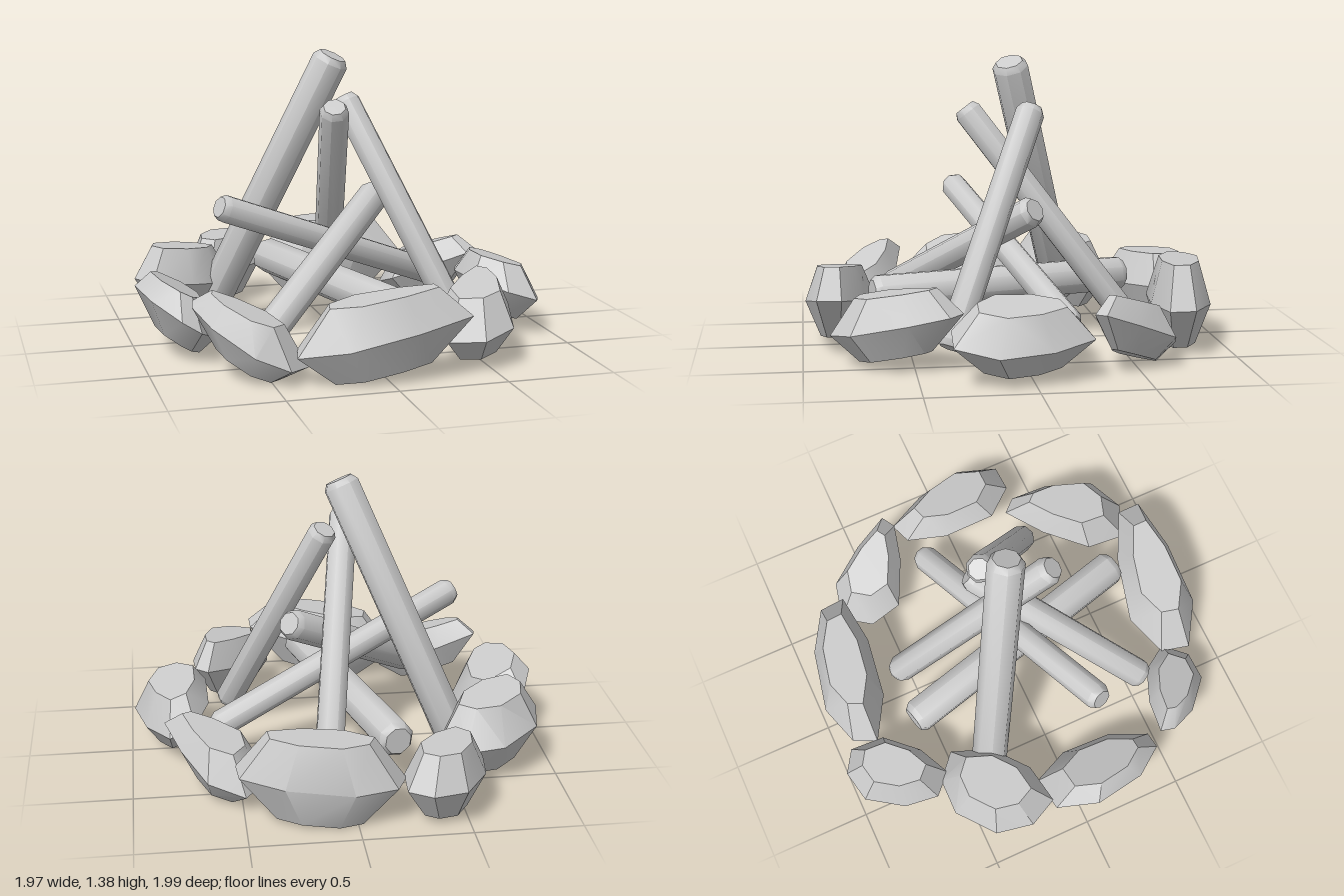
import * as THREE from 'three';
import { ConvexGeometry } from 'three/addons/geometries/ConvexGeometry.js';
import { toCreasedNormals } from 'three/addons/utils/BufferGeometryUtils.js';

// Logs: radius, one end, other end
const LOGS = [
  [0.088, [-0.02, 1.36, 0], [-0.55, 0.12, -0.34]],
  [0.07, [-0.07, 1.14, 0.21], [0.1, 0.12, -0.56]],
  [0.07, [0.06, 1.15, -0.1], [0.51, 0.1, 0.34]],
  [0.066, [-0.62, 0.7, 0.22], [0.6, 0.21, -0.2]],
  [0.075, [0.23, 0.68, -0.09], [-0.47, 0.19, 0.56]],
  [0.088, [-0.22, 0.28, -0.6], [0.11, 0.28, 0.67]],
];

// Stones: x, z, yaw, half length, half width, bottom, top, taper, slope along, slope across
const STONES = [
  [-0.41, -0.79, -0.9, 0.25, 0.16, 0.04, 0.36, 0, 0, 0],
  [0.16, -0.8, 0.17, 0.38, 0.15, 0.02, 0.42, 0, 0.05, 0],
  [0.62, -0.47, 0.75, 0.26, 0.15, 0.07, 0.32, 0.4, 0.4, 0],
  [0.79, 0.06, 1.46, 0.32, 0.17, 0.08, 0.35, -0.1, 0, 0.33],
  [0.5, 0.59, 2.05, 0.31, 0.16, 0.07, 0.36, -0.35, -0.2, 0],
  [-0.03, 0.83, 0.12, 0.39, 0.16, 0.05, 0.39, 0.15, 0.2, 0],
  [-0.6, 0.66, 0.6, 0.26, 0.13, 0.08, 0.33, -0.35, -0.5, 0],
  [-0.81, 0.16, 1.52, 0.31, 0.17, 0.07, 0.33, 0.35, 0, 0.65],
  [-0.7, -0.38, -0.66, 0.28, 0.19, 0.06, 0.4, 0, -0.15, 0],
];

// Eight-sided log with chamfered ends, laid between two points
function makeLog([r, from, to], material) {
  const a = new THREE.Vector3(...from), b = new THREE.Vector3(...to);
  const length = a.distanceTo(b);
  const profile = [[0, 0], [r * 0.75, 0], [r, 0.03], [r, length - 0.03], [r * 0.75, length], [0, length]]
    .map(([x, y]) => new THREE.Vector2(x, y));
  const log = new THREE.Mesh(toCreasedNormals(new THREE.LatheGeometry(profile, 8), 0.82), material);
  log.position.copy(a);
  log.quaternion.setFromUnitVectors(new THREE.Vector3(0, 1, 0), b.sub(a).normalize());
  return log;
}

// Faceted stone: hull of an uneven octagon and smaller rings above and below it
function makeStone([x, z, yaw, halfL, halfW, lo, hi, taper, slopeU, slopeV], index, material) {
  const points = [];
  for (let i = 0; i < 8; i++) {
    const angle = (i + 0.5) * Math.PI / 4;
    const size = (0.97 + 0.06 * Math.sin(i * 2.4 + index * 1.7)) / Math.cos(Math.PI / 8);
    const along = Math.cos(angle) * size;
    const u = along * halfL;
    const v = Math.sin(angle) * size * halfW * (1 - taper * along);
    const dy = u * slopeU + v * slopeV;
    const dx = u * Math.cos(yaw) - v * Math.sin(yaw);
    const dz = u * Math.sin(yaw) + v * Math.cos(yaw);
    points.push(new THREE.Vector3(x + dx, (lo + hi) / 2 + dy, z + dz));
    points.push(new THREE.Vector3(x + dx * 0.62, hi + dy * 0.5, z + dz * 0.62));
    points.push(new THREE.Vector3(x + dx * 0.55, Math.max(0, lo + dy * 0.5), z + dz * 0.55));
  }
  return new THREE.Mesh(toCreasedNormals(new ConvexGeometry(points), 0.6), material);
}

export function createModel() {
  const model = new THREE.Group();
  model.name = 'campfire';
  const material = new THREE.MeshStandardMaterial({ color: 0xcccccc });

  const logs = new THREE.Group();
  logs.name = 'logs';
  LOGS.forEach((spec, i) => {
    const log = makeLog(spec, material);
    log.name = `log${i + 1}`;
    logs.add(log);
  });

  const stones = new THREE.Group();
  stones.name = 'stoneRing';
  STONES.forEach((spec, i) => {
    const stone = makeStone(spec, i, material);
    stone.name = `stone${i + 1}`;
    stones.add(stone);
  });

  model.add(logs, stones);
  return model;
}
